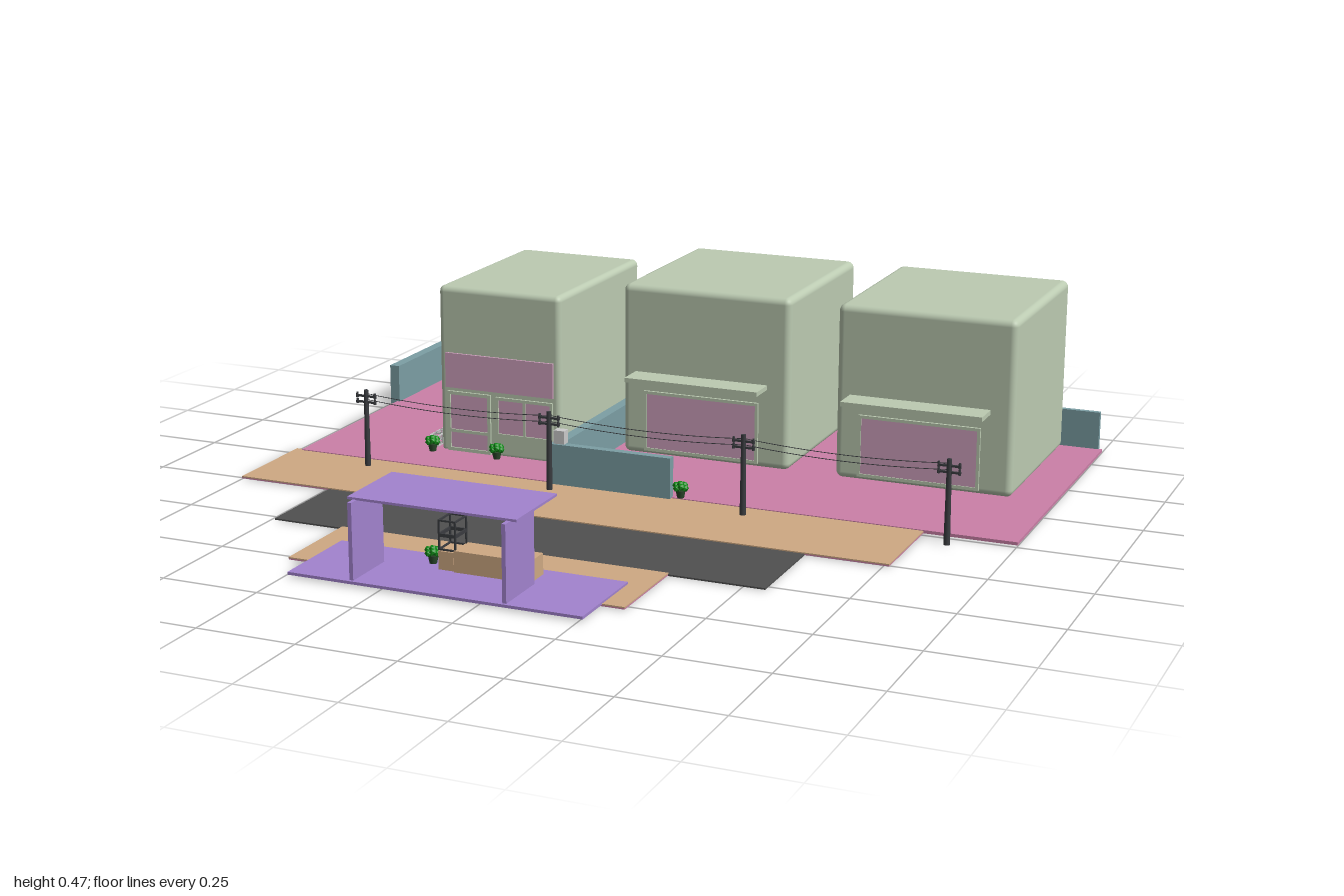
import * as THREE from 'three';
import { RoundedBoxGeometry } from 'three/addons/geometries/RoundedBoxGeometry.js';

const mat = (color) => new THREE.MeshStandardMaterial({ color });
const M = {
  pink: mat(0xcc80a8), tan: mat(0xcfa983), road: mat(0x505050), purple: mat(0xa283cf),
  green: mat(0xbccbb2), wall: mat(0x7c9fa5), panel: mat(0xd2a3c0), dark: mat(0x3a3c40),
  leaf: mat(0x118a18), pot: mat(0x2c4a2c), grey: mat(0xcccccc),
};

function add(parent, name, geometry, material) {
  const mesh = new THREE.Mesh(geometry, material);
  mesh.name = name;
  parent.add(mesh);
  return mesh;
}

// Box given by its minimum and maximum corners
function box(parent, name, material, x0, x1, y0, y1, z0, z1, radius = 0) {
  const size = [x1 - x0, y1 - y0, z1 - z0];
  const geometry = radius ? new RoundedBoxGeometry(...size, 3, radius) : new THREE.BoxGeometry(...size);
  const mesh = add(parent, name, geometry, material);
  mesh.position.set((x0 + x1) / 2, (y0 + y1) / 2, (z0 + z1) / 2);
  return mesh;
}

function group(parent, name, x = 0, y = 0, z = 0) {
  const g = new THREE.Group();
  g.name = name;
  g.position.set(x, y, z);
  parent.add(g);
  return g;
}

// Rectangular frame standing in the xy plane
function frame(parent, name, material, x0, x1, y0, y1, z0, z1, t) {
  const g = group(parent, name);
  box(g, 'leftBar', material, x0, x0 + t, y0, y1, z0, z1);
  box(g, 'rightBar', material, x1 - t, x1, y0, y1, z0, z1);
  box(g, 'lowerBar', material, x0 + t, x1 - t, y0, y0 + t, z0, z1);
  box(g, 'upperBar', material, x0 + t, x1 - t, y1 - t, y1, z0, z1);
}

// Open crate made of its twelve edges
function crate(parent, name, material, x, y, z, w, h, d, t) {
  const g = group(parent, name, x, y, z);
  for (const s of [-1, 1]) for (const r of [-1, 1]) {
    const a = s * (w - t) / 2, b = r * (h - t) / 2 + h / 2, c = r * (d - t) / 2;
    add(g, 'post', new THREE.BoxGeometry(t, h, t), material).position.set(a, h / 2, c);
    add(g, 'sideRail', new THREE.BoxGeometry(t, t, d), material).position.set(a, b, 0);
    add(g, 'crossRail', new THREE.BoxGeometry(w, t, t), material).position.set(0, b, s * (d - t) / 2);
  }
}

function plant(parent, x, y, z) {
  const g = group(parent, 'pottedPlant', x, y, z);
  add(g, 'pot', new THREE.CylinderGeometry(0.013, 0.009, 0.02, 10), M.pot).position.y = 0.01;
  for (let i = 0; i < 7; i++) {
    const a = i * Math.PI / 3, r = i < 6 ? 0.012 : 0;
    const leaf = add(g, 'leaves', new THREE.IcosahedronGeometry(0.01, 0), M.leaf);
    leaf.position.set(r * Math.cos(a), i < 6 ? 0.026 + 0.005 * (i % 2) : 0.035, r * Math.sin(a));
  }
}

// Shop with a wide window under a flat awning
function shop(parent, x0) {
  const g = group(parent, 'shop', x0);
  box(g, 'building', M.green, 0, 0.472, 0.008, 0.47, -0.862, -0.345, 0.018);
  box(g, 'awning', M.green, 0.037, 0.41, 0.223, 0.235, -0.35, -0.268);
  box(g, 'shopWindow', M.panel, 0.07, 0.38, 0.026, 0.178, -0.348, -0.341);
  frame(g, 'windowFrame', M.green, 0.063, 0.387, 0.02, 0.185, -0.348, -0.338, 0.008);
}

function utilityPole(parent, x) {
  const g = group(parent, 'utilityPole', x, 0, 0.045);
  add(g, 'pole', new THREE.CylinderGeometry(0.006, 0.008, 0.215, 10), M.dark).position.y = 0.1075;
  for (const y of [0.182, 0.198]) {
    add(g, 'crossArm', new THREE.BoxGeometry(0.058, 0.005, 0.006), M.dark).position.y = y;
    for (const s of [-1, 1]) {
      add(g, 'insulator', new THREE.CylinderGeometry(0.003, 0.004, 0.014, 8), M.dark).position.set(s * 0.026, y + 0.002, 0);
    }
  }
}

export function createModel() {
  const model = new THREE.Group();
  model.name = 'streetScene';

  // Ground layers
  const ground = group(model, 'ground');
  box(ground, 'yard', M.pink, -0.98, 1, 0.002, 0.01, -0.87, -0.01);
  const pavement = (x0, x1, z0, z1) => {
    box(ground, 'pavementBase', M.pink, x0, x1, 0.002, 0.005, z0, z1);
    box(ground, 'pavementTop', M.tan, x0, x1, 0.005, 0.008, z0, z1);
  };
  pavement(-1, 0.765, -0.02, 0.26);
  pavement(-0.55, 0.315, 0.522, 0.775);
  box(ground, 'road', M.road, -0.74, 0.555, 0.001, 0.005, 0.26, 0.525);

  // Boundary walls
  const walls = group(model, 'walls');
  box(walls, 'backWallRight', M.wall, -1, -0.22, 0.002, 0.115, -0.88, -0.855);
  box(walls, 'backWallLeft', M.wall, -0.22, 0.99, 0.002, 0.112, -0.88, -0.866);
  box(walls, 'sideWall', M.wall, -1, -0.972, 0.002, 0.115, -0.855, -0.545);
  box(walls, 'dividingWall', M.wall, -0.235, -0.207, 0.002, 0.115, -0.775, 0);
  box(walls, 'frontWall', M.wall, -0.207, 0.1, 0.002, 0.115, -0.022, 0);

  // Two matching shops
  shop(model, -0.18);
  shop(model, 0.42);

  // House with a sign board, a door and a window
  const house = group(model, 'house');
  box(house, 'building', M.green, -0.64, -0.283, 0, 0.46, -0.69, -0.17, 0.016);
  box(house, 'frontBoard', M.panel, -0.62, -0.303, 0.185, 0.28, -0.173, -0.164);
  box(house, 'door', M.panel, -0.61, -0.495, 0.015, 0.17, -0.173, -0.168);
  frame(house, 'doorFrame', M.green, -0.616, -0.488, 0.01, 0.175, -0.173, -0.164, 0.009);
  box(house, 'doorRail', M.green, -0.607, -0.497, 0.062, 0.07, -0.173, -0.164);
  box(house, 'window', M.panel, -0.465, -0.312, 0.07, 0.165, -0.173, -0.168);
  frame(house, 'windowFrame', M.green, -0.472, -0.305, 0.064, 0.172, -0.173, -0.164, 0.008);
  box(house, 'windowBar', M.green, -0.392, -0.385, 0.072, 0.164, -0.173, -0.165);
  for (let i = 0; i < 3; i++) crate(house, 'crate', M.grey, -0.668, 0.01, -0.265 + i * 0.035, 0.028, 0.03, 0.028, 0.003);

  // Poles and sagging wires
  const lines = group(model, 'powerLines');
  const poleX = [-0.745, -0.215, 0.315, 0.84];
  poleX.forEach((x) => utilityPole(lines, x));
  for (let i = 0; i < 3; i++) for (const y of [0.186, 0.202]) {
    const a = poleX[i], b = poleX[i + 1];
    const curve = new THREE.QuadraticBezierCurve3(
      new THREE.Vector3(a, y, 0.036), new THREE.Vector3((a + b) / 2, y - 0.025, 0.03), new THREE.Vector3(b, y, 0.036));
    add(lines, 'wire', new THREE.TubeGeometry(curve, 20, 0.001, 5), M.dark);
  }
  box(lines, 'poleBox', M.grey, -0.197, -0.168, 0.135, 0.17, 0.032, 0.056);

  // Open stall across the road
  const stall = group(model, 'stall');
  box(stall, 'floor', M.purple, -0.49, 0.26, 0.006, 0.013, 0.63, 0.88);
  box(stall, 'roof', M.purple, -0.345, 0.085, 0.198, 0.204, 0.635, 0.847);
  for (const x of [-0.325, 0.065]) box(stall, 'sidePanel', M.purple, x - 0.005, x + 0.005, 0.013, 0.199, 0.727, 0.873);
  box(stall, 'counter', M.tan, -0.135, 0.06, 0.013, 0.065, 0.66, 0.73);
  box(stall, 'counterEnd', M.tan, -0.178, -0.138, 0.013, 0.058, 0.665, 0.725);
  for (let i = 0; i < 2; i++) crate(stall, 'shelf', M.dark, -0.155, 0.06 + i * 0.037, 0.695, 0.046, 0.037, 0.06, 0.004);

  // Potted plants
  plant(model, -0.65, 0.01, -0.14);
  plant(model, -0.458, 0.01, -0.14);
  plant(model, 0.122, 0.01, -0.018);
  plant(model, -0.21, 0.013, 0.69);

  return model;
}
